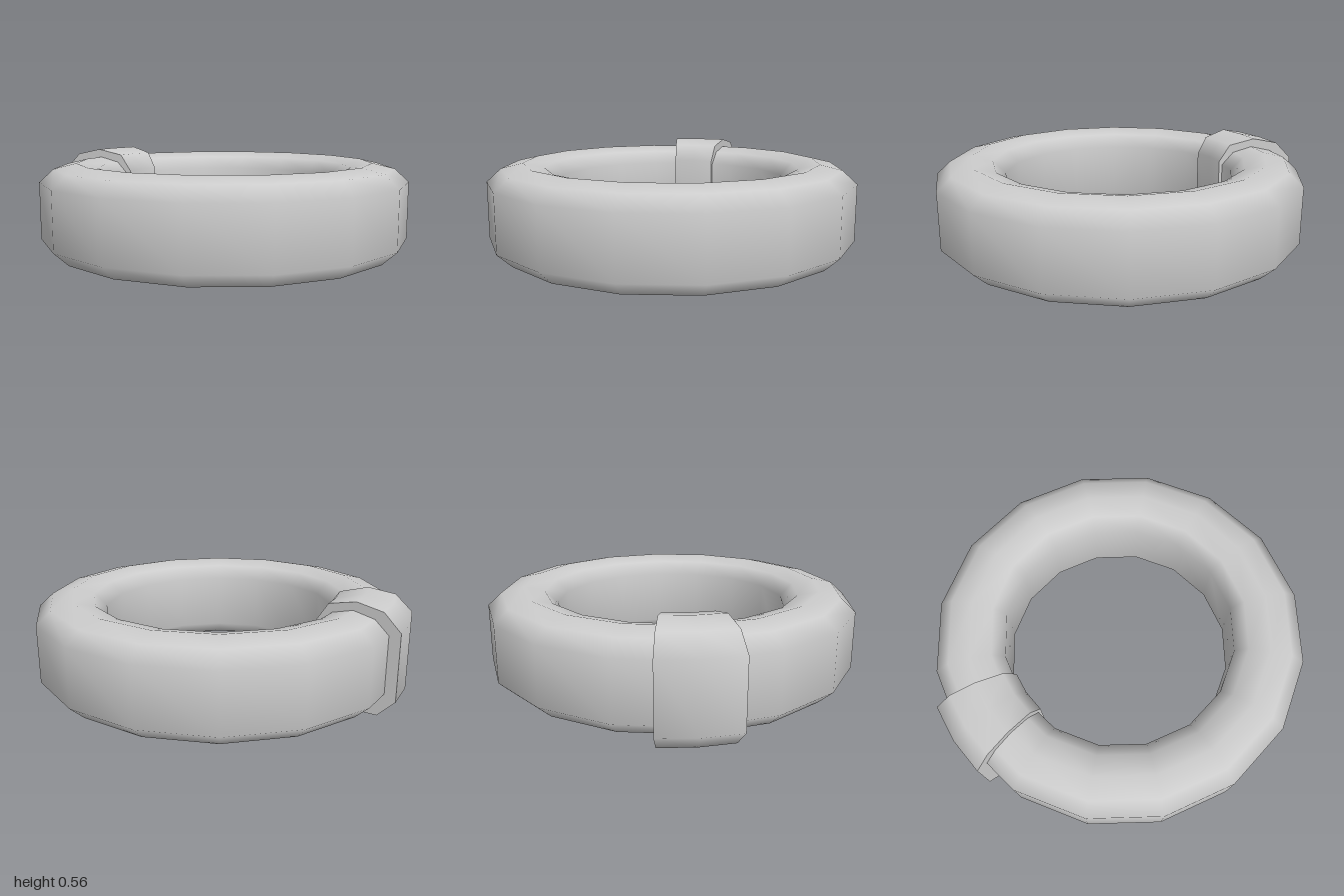
import * as THREE from 'three';
import { mergeVertices } from 'three/addons/utils/BufferGeometryUtils.js';

const CENTRE_X = 0.02;
const STEP = Math.PI / 8;

// Cross-sections as [radius, height], counter-clockwise from the outer bottom
const ringProfile = [
  [0.98, 0.12], [0.98, 0.42], [0.905, 0.488], [0.79, 0.515], [0.68, 0.488],
  [0.615, 0.42], [0.615, 0.12], [0.68, 0.05], [0.905, 0.05],
];
const sleeveProfile = [
  [1.02, 0.09], [1.02, 0.44], [0.93, 0.53], [0.79, 0.56], [0.645, 0.53],
  [0.585, 0.44], [0.585, 0.09], [0.645, 0], [0.93, 0],
];

const toPoints = (profile) => profile.map(([r, y]) => new THREE.Vector2(r, y));

// Revolves a closed profile and welds its seams so the shading is smooth
function sweep(profile, segments, start, length) {
  const points = toPoints([...profile, profile[0]]);
  const lathe = new THREE.LatheGeometry(points, segments, start, length);
  lathe.deleteAttribute('normal');
  lathe.deleteAttribute('uv');
  const geometry = mergeVertices(lathe, 1e-4);
  geometry.computeVertexNormals();
  return geometry;
}

export function createModel() {
  const model = new THREE.Group();
  model.name = 'ringWithSleeve';
  const material = new THREE.MeshStandardMaterial({ color: 0xcccccc });
  const thin = new THREE.MeshStandardMaterial({ color: 0xcccccc, side: THREE.DoubleSide });

  const add = (name, geometry, mat, parent = model) => {
    const mesh = new THREE.Mesh(geometry, mat);
    mesh.name = name;
    parent.add(mesh);
    return mesh;
  };

  // Sixteen-sided ring
  add('ring', sweep(ringProfile, 16, 0, Math.PI * 2), material);

  // Sleeve wrapped around the ring on its right side, one ring segment long
  const sleeve = new THREE.Group();
  sleeve.name = 'sleeve';
  model.add(sleeve);
  const middle = Math.PI * 1.5;
  add('sleeveBand', sweep(sleeveProfile, 2, middle - STEP / 2, STEP), material, sleeve);

  // Flat end faces of the sleeve
  const endShape = new THREE.Shape(toPoints(sleeveProfile));
  for (const side of [-1, 1]) {
    const cap = add(side < 0 ? 'sleeveBackEnd' : 'sleeveFrontEnd',
      new THREE.ShapeGeometry(endShape), thin, sleeve);
    cap.rotation.y = middle + side * STEP / 2 - Math.PI / 2;
  }

  model.position.x = CENTRE_X;
  return model;
}
